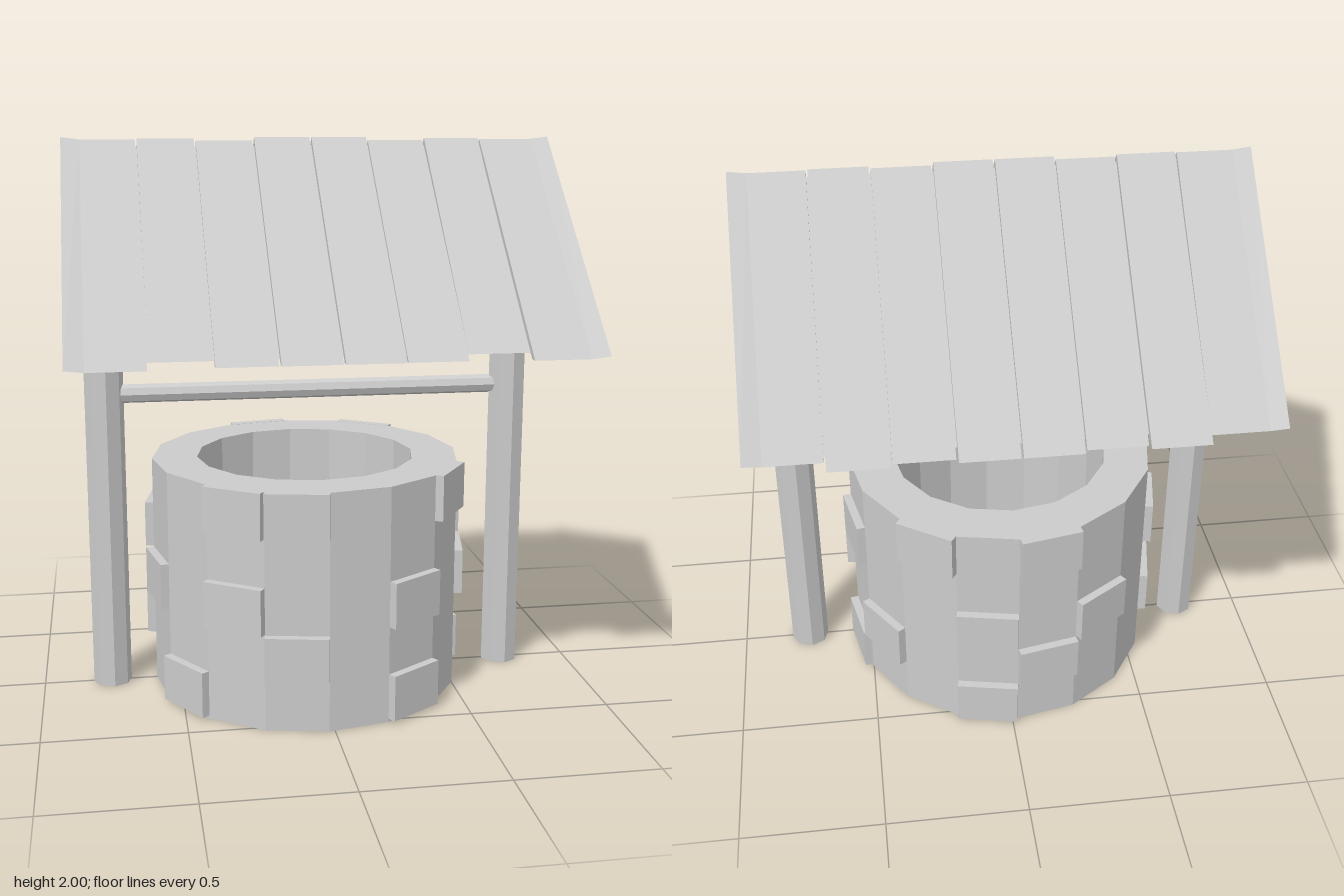
import * as THREE from 'three';

const grey = new THREE.MeshStandardMaterial({ color: 0xcccccc, flatShading: true });

function add(parent, name, geometry, x = 0, y = 0, z = 0) {
  const mesh = new THREE.Mesh(geometry, grey);
  mesh.name = name;
  mesh.position.set(x, y, z);
  parent.add(mesh);
  return mesh;
}

// Extrudes a (z, y) outline along x, from x0 to x1
function extrudeX(points, x0, x1, steps = 1) {
  const shape = new THREE.Shape(points.map(([z, y]) => new THREE.Vector2(z, y)));
  const geometry = new THREE.ExtrudeGeometry(shape, { depth: x1 - x0, steps, bevelEnabled: false });
  return geometry.rotateY(-Math.PI / 2).translate(x1, 0, 0);
}

// Regular polygon as a list of corners
function ring(radius, sides) {
  return Array.from({ length: sides }, (_, i) => {
    const a = (i / sides) * Math.PI * 2;
    return new THREE.Vector2(Math.cos(a) * radius, Math.sin(a) * radius);
  });
}

function buildWell() {
  const well = new THREE.Group();
  well.name = 'well';
  well.position.x = -0.02;
  const sides = 16, radius = 0.565, step = (Math.PI * 2) / sides;

  // Hollow wall
  const shape = new THREE.Shape(ring(radius, sides));
  shape.holes.push(new THREE.Path(ring(0.4, sides)));
  const wall = new THREE.ExtrudeGeometry(shape, { depth: 0.85, bevelEnabled: false });
  add(well, 'wall', wall.rotateX(-Math.PI / 2));

  // Raised stones: which facets carry one, row by row from the ground
  const rows = [
    [2, 6, 12, 15],
    [4, 8, 11, 14],
    [0, 2, 5, 7, 10, 12],
    [8, 15],
    [1, 4, 5, 11, 13],
  ];
  const width = 2 * radius * Math.sin(step / 2);
  const reach = radius * Math.cos(step / 2);
  rows.forEach((facets, row) => facets.forEach((facet) => {
    const a = (facet + 0.5) * step;
    const r = reach + 0.01;
    const stone = add(well, 'stone', new THREE.BoxGeometry(width, 0.165, 0.04),
      Math.cos(a) * r, 0.0945 + row * 0.1685, Math.sin(a) * r);
    stone.rotation.y = Math.PI / 2 - a;
  }));
  return well;
}

function buildRoof() {
  const roof = new THREE.Group();
  roof.name = 'roof';
  const base = 1.32, apex = 1.967, half = 0.67;
  const halfAt = (y) => (half * (apex - y)) / (apex - base);

  // Solid gable core
  add(roof, 'roofCore', extrudeX([[-half, base], [half, base], [0, apex]], -0.825, 0.825));

  // Horizontal gable boards, some standing proud of the others
  const proud = [0.84, 0.855, 0.84, 0.855, 0.84, 0.84, 0.855, 0.84];
  proud.forEach((x, i) => {
    const y0 = base + i * 0.08, y1 = Math.min(y0 + 0.08, apex - 0.002);
    const a = halfAt(y0), b = halfAt(y1);
    const outline = [[-a, y0], [a, y0], [b, y1], [-b, y1]];
    add(roof, 'gableBoardLeft', extrudeX(outline, 0.81, x));
    add(roof, 'gableBoardRight', extrudeX(outline, -x, -0.81));
  });

  // Sloping planks, mirrored in x: [inner x, outer x, top y, front end, back end]
  const planks = [
    [0.004, 0.2, 1.997, [0.715, 1.305], [0.73, 1.302]],
    [0.207, 0.405, 1.986, [0.7, 1.303], [0.715, 1.305]],
    [0.412, 0.61, 1.993, [0.668, 1.322], [0.73, 1.302]],
    [0.616, 0.87, 1.99, [0.718, 1.302], [0.688, 1.31]],
  ];
  for (const [inner, outer, top, front, back] of planks) {
    for (const side of [-1, 1]) {
      for (const [name, dir, [z, y]] of [['frontPlank', 1, front], ['backPlank', -1, back]]) {
        let outline = [[0, top - 0.03], [z - 0.03, y], [z, y], [0, top]];
        if (dir < 0) outline = outline.map(([pz, py]) => [-pz, py]);
        const [x0, x1] = side > 0 ? [inner, outer] : [-outer, -inner];
        const geometry = extrudeX(outline, x0, x1, 4);
        // The outermost planks curl up slightly at their free edge
        const p = geometry.attributes.position;
        for (let i = 0; i < p.count; i++) {
          if (Math.abs(p.getX(i)) > 0.84) {
            p.setY(i, p.getY(i) + 0.008);
            p.setZ(i, p.getZ(i) * 1.008);
          }
        }
        geometry.computeVertexNormals();
        add(roof, name, geometry);
      }
    }
  }
  return roof;
}

export function createModel() {
  const model = new THREE.Group();
  model.name = 'wishingWell';
  model.add(buildWell(), buildRoof());

  // Posts holding the roof
  for (const [name, x] of [['postLeft', 0.745], ['postRight', -0.75]]) {
    const post = new THREE.CylinderGeometry(0.07, 0.07, 1.33, 8).rotateY(0.1);
    add(model, name, post, x, 0.665, 0);
  }

  // Crossbar between the posts
  const bar = new THREE.CylinderGeometry(0.034, 0.034, 1.4, 8).rotateZ(Math.PI / 2);
  add(model, 'crossbar', bar, 0, 1.093, 0);
  return model;
}
